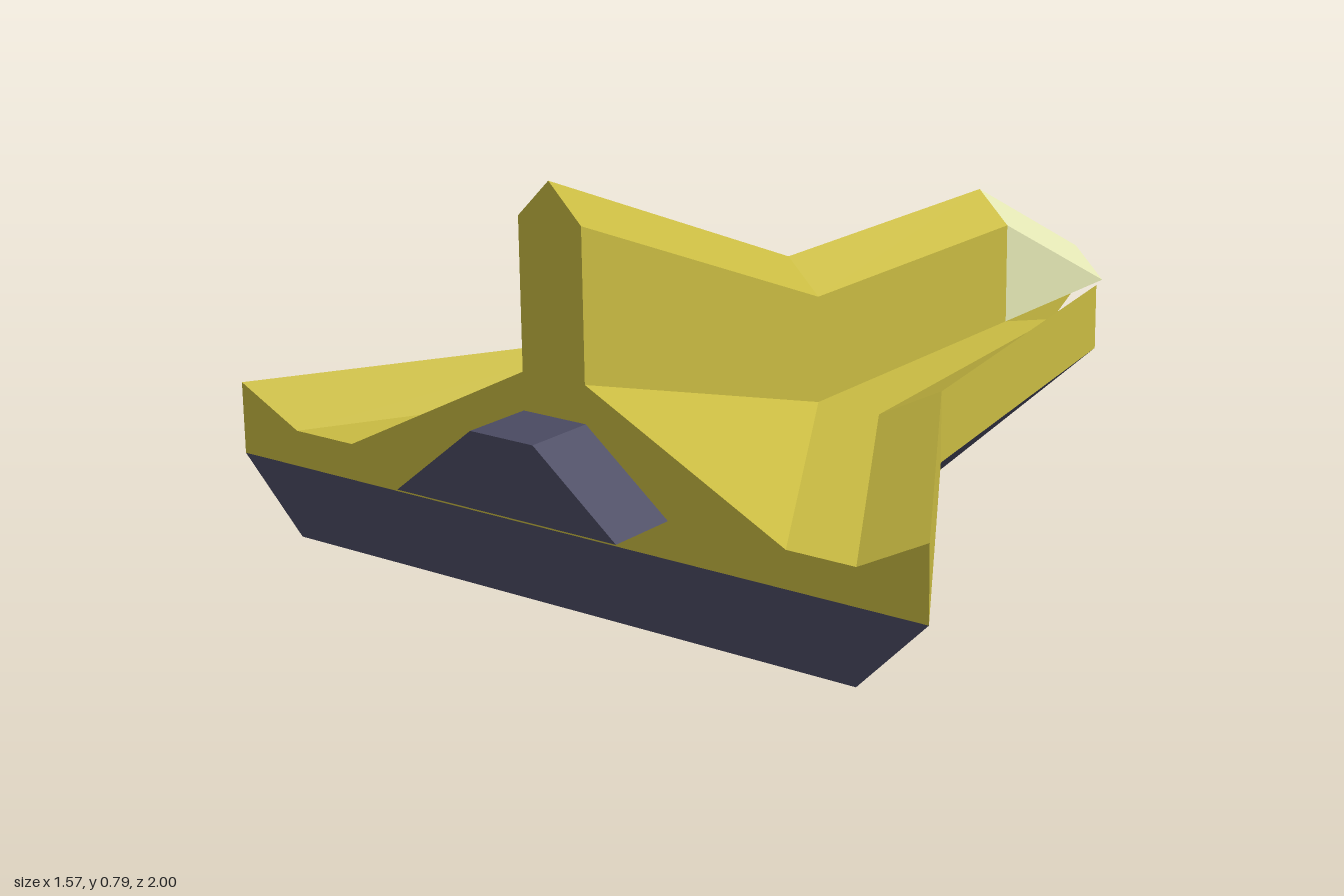
import * as THREE from 'three';

const material = (color) => new THREE.MeshStandardMaterial({ color, flatShading: true });

// Skin a row of cross-sections, each a loop of [x, y, z] running
// counter-clockwise as seen from +z, ordered from +z to -z.
function loft(name, sections, mat) {
  const n = sections[0].length;
  const pos = [];
  const tri = (a, b, c) => pos.push(...a, ...b, ...c);
  for (let s = 0; s < sections.length - 1; s++) {
    const p = sections[s], q = sections[s + 1];
    for (let i = 0; i < n; i++) {
      const j = (i + 1) % n;
      tri(p[i], q[i], q[j]);
      tri(p[i], q[j], p[j]);
    }
  }
  const cap = (sec, flip) => {
    const outline = sec.map(([x, y]) => new THREE.Vector2(x, y));
    for (const [a, b, c] of THREE.ShapeUtils.triangulateShape(outline, [])) {
      if (flip) tri(sec[a], sec[c], sec[b]);
      else tri(sec[a], sec[b], sec[c]);
    }
  };
  cap(sections[0], false);
  cap(sections[sections.length - 1], true);
  const geo = new THREE.BufferGeometry();
  geo.setAttribute('position', new THREE.Float32BufferAttribute(pos, 3));
  geo.computeVertexNormals();
  const mesh = new THREE.Mesh(geo, mat);
  mesh.name = name;
  return mesh;
}

const mirror = (sections) => sections.map((s) => s.map(([x, y, z]) => [-x, y, z]).reverse());
const at = (z, points) => points.map(([x, y]) => [x, y, z]);

// Key stations along the length and half width of the spine
const REAR = 0.857, MID = 0.143, FRONT = -0.571, TIP = -0.714, W = 0.071;

const rect = (z, y0, y1, zTop = z) => [[-W, y0, z], [W, y0, z], [W, y1, zTop], [-W, y1, zTop]];
const ridge = (z, y0, shoulder) =>
  at(z, [[-W, y0], [W, y0], [W, shoulder], [0, shoulder + 0.071], [-W, shoulder]]);

export function createModel() {
  const group = new THREE.Group();
  const yellow = material(0xc9bb42);
  const dark = material(0x4a4a62);
  const glass = material(0xe3e6b4);

  // Raised spine and tail fin
  group.add(loft('spineFin', [
    ridge(REAR, 0.143, 0.714),
    ridge(MID, 0.143, 0.429),
    ridge(FRONT, 0.143, 0.429),
  ], yellow));

  // Canopy tapering to the nose
  group.add(loft('canopy', [ridge(FRONT, 0.214, 0.429), ridge(-1, 0.214, 0.2145)], glass));

  // Sloping chin below the canopy
  group.add(loft('chin', [rect(FRONT, 0.143, 0.214), rect(TIP, 0.143, 0.214, -0.857)], yellow));

  // Keel below the spine
  group.add(loft('keel', [
    rect(REAR, 0, 0.143),
    rect(MID, 0, 0.143),
    rect(FRONT, 0.071, 0.143),
    rect(TIP, 0.1429, 0.143),
  ], dark));

  // Wing deck: inner slope, flat channel and raised rim
  const wing = [
    at(REAR, [[W, 0.143], [0.786, 0.143], [0.786, 0.286], [0.643, 0.214], [0.5, 0.214], [W, 0.429]]),
    at(MID, [[W, 0.143], [0.357, 0.143], [0.357, 0.286], [0.214, 0.214], [W, 0.214], [W, 0.214]]),
    [[W, 0.143, FRONT], [0.214, 0.143, TIP], [0.214, 0.286, TIP],
      [0.143, 0.214, -0.643], [W, 0.214, FRONT], [W, 0.214, FRONT]],
  ];
  group.add(loft('leftWing', wing, yellow), loft('rightWing', mirror(wing), yellow));

  // Bevelled underside of each wing
  const belly = [
    at(REAR, [[W, 0], [0.643, 0], [0.786, 0.143], [W, 0.143]]),
    at(MID, [[W, 0], [0.214, 0], [0.357, 0.143], [W, 0.143]]),
    [[W, 0.071, FRONT], [W, 0.071, FRONT], [0.214, 0.143, TIP], [W, 0.143, FRONT]],
  ];
  group.add(loft('leftBelly', belly, dark), loft('rightBelly', mirror(belly), dark));

  // Engine block
  const engine = [[-0.25, 0.214], [0.25, 0.214], [W, 0.357], [-W, 0.357]];
  group.add(loft('engine', [at(1, engine), at(REAR, engine)], dark));

  return group;
}
